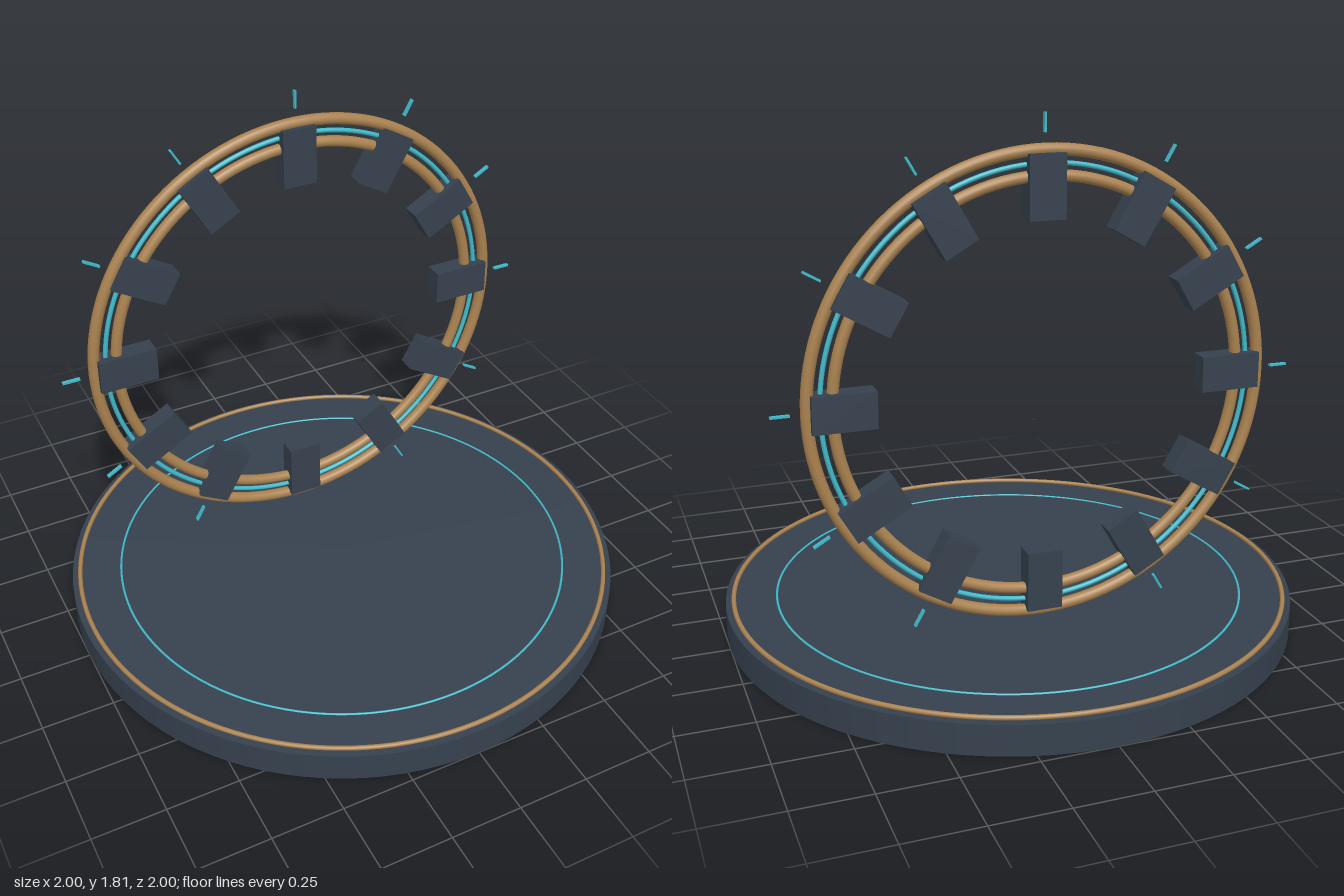
import * as THREE from 'three';

const slate = new THREE.MeshStandardMaterial({ color: 0x36414e });
const bronze = new THREE.MeshStandardMaterial({ color: 0xa9814f });
const cyan = new THREE.MeshStandardMaterial({ color: 0x3fb8c8 });

function add(parent, name, geometry, material) {
  const mesh = new THREE.Mesh(geometry, material);
  mesh.name = name;
  parent.add(mesh);
  return mesh;
}

function addRing(parent, name, radius, tube, material) {
  return add(parent, name, new THREE.TorusGeometry(radius, tube, 16, 128), material);
}

export function createModel() {
  const model = new THREE.Group();
  model.name = 'ringPortal';

  // Round platform with inlaid rings
  const platform = new THREE.Group();
  platform.name = 'platform';
  model.add(platform);
  add(platform, 'platformDisc', new THREE.CylinderGeometry(1, 1, 0.105, 96), slate).position.y = 0.0525;
  for (const [name, radius, tube, y, material] of [
    ['platformTrim', 0.972, 0.008, 0.113, bronze],
    ['platformGlowLine', 0.823, 0.004, 0.105, cyan],
  ]) {
    const ring = addRing(platform, name, radius, tube, material);
    ring.rotation.x = -Math.PI / 2;
    ring.position.y = y;
  }

  // Upright gate: two bronze hoops with a glowing hoop between them
  const gate = new THREE.Group();
  gate.name = 'gate';
  gate.position.set(0, 0.925, -0.34);
  model.add(gate);
  addRing(gate, 'outerHoop', 0.773, 0.02, bronze);
  addRing(gate, 'innerHoop', 0.692, 0.019, bronze);
  addRing(gate, 'glowHoop', 0.731, 0.008, cyan);

  // Twelve blocks and tick marks around the gate
  const blockGeometry = new THREE.BoxGeometry(0.208, 0.122, 0.07);
  const tickGeometry = new THREE.BoxGeometry(0.062, 0.007, 0.014);
  for (let i = 0; i < 12; i++) {
    const station = new THREE.Group();
    station.name = `station${i + 1}`;
    station.rotation.z = (i / 12) * Math.PI * 2;
    gate.add(station);
    add(station, 'block', blockGeometry, slate).position.x = 0.66;
    add(station, 'tick', tickGeometry, cyan).position.x = 0.856;
  }

  // Tiny floating bead in front of the gate
  add(model, 'bead', new THREE.SphereGeometry(0.003, 8, 6), slate).position.set(0, 0.795, -0.257);

  return model;
}
